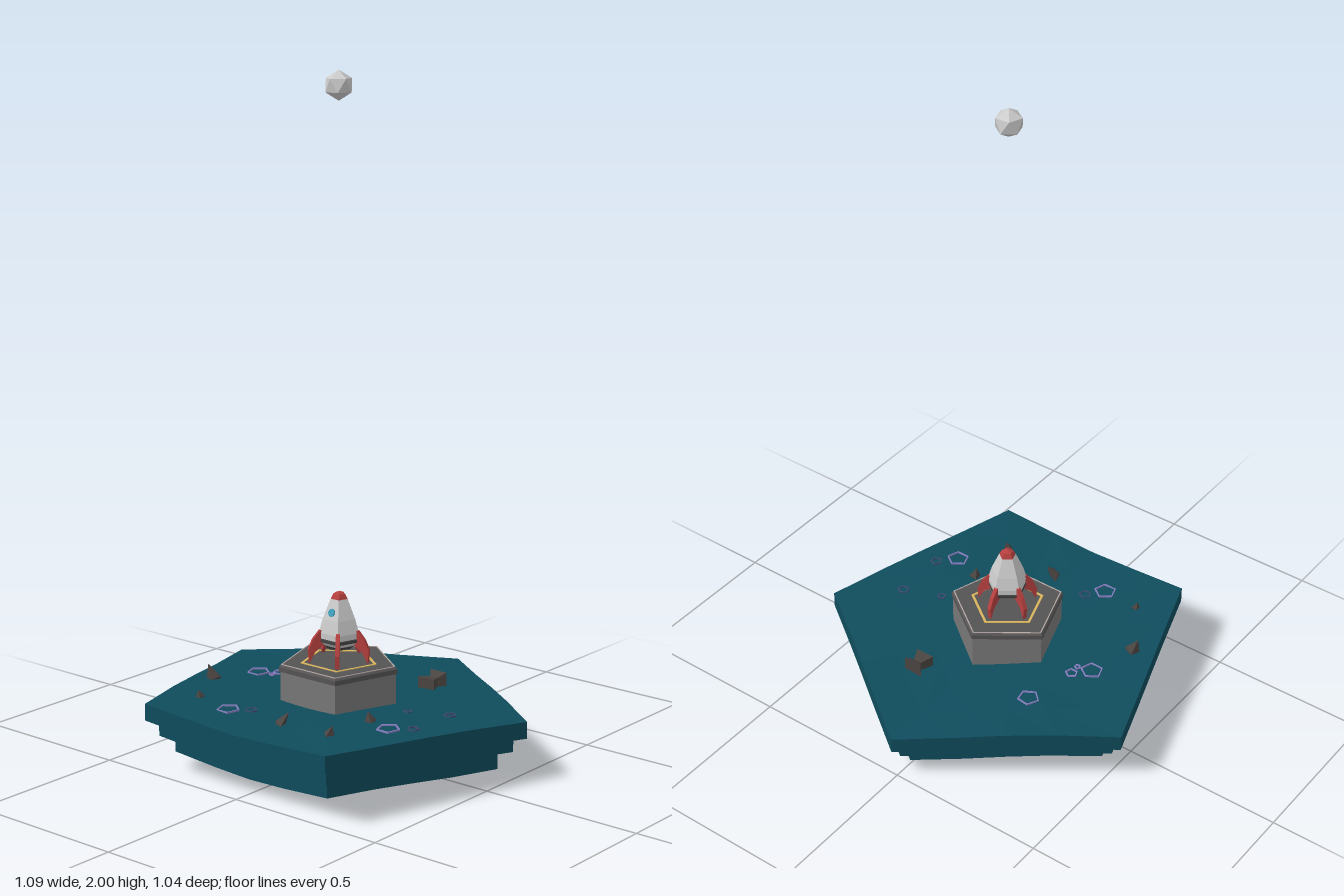
import * as THREE from 'three';

const CZ = 0.05; // z of the shared pentagon axis
const STEP = Math.PI * 2 / 5;

const mat = (color) => new THREE.MeshStandardMaterial({ color, flatShading: true, side: THREE.DoubleSide });
const M = {
  ground: mat(0x0f4c5c), pad: mat(0x777777), deck: mat(0x555353), trim: mat(0xb5a8a4), yellow: mat(0xd8b45c),
  hull: mat(0xcccccc), red: mat(0xb5403f), dark: mat(0x444444), glass: mat(0x3f9fbd),
  rock: mat(0x4a4441), crater: mat(0x8a80c4), craterDim: mat(0x3d4a72),
};

function add(parent, name, geo, material, x = 0, y = 0, z = 0) {
  const mesh = new THREE.Mesh(geo, material);
  mesh.name = name;
  mesh.position.set(x, y, z);
  parent.add(mesh);
  return mesh;
}

// Five-sided lathe with one corner pointing to -z; points run bottom to top
const lathe5 = (pts) => new THREE.LatheGeometry(pts.map(([r, y]) => new THREE.Vector2(r, y)), 5, Math.PI);

// Flat pentagonal frame lying in the ground plane
function frame(r, width, height) {
  return lathe5([[r - width, 0], [r, 0], [r, height], [r - width, height], [r - width, 0]]);
}

// Rolling height of the ground surface
const ground = (x, z) => 0.185 + 0.035 * z - 0.008 * Math.cos(9 * x) + 0.003 * Math.sin(8 * z + 3 * x);

// Pentagonal slab: a lathe squared off to five sides and bent along the ground
function slab(radius, drop, thick, sag) {
  const rings = [0, 0.25, 0.5, 0.75, 1];
  const pts = [
    ...rings.map((f) => new THREE.Vector2(f * radius, -drop - thick)),
    ...rings.slice().reverse().map((f) => new THREE.Vector2(f * radius, -drop)),
  ];
  const geo = new THREE.LatheGeometry(pts, 20, Math.PI);
  const p = geo.attributes.position;
  for (let i = 0; i < p.count; i++) {
    const x0 = p.getX(i), z0 = p.getZ(i), y0 = p.getY(i);
    const a = Math.atan2(x0, z0) + Math.PI + 1e-6;
    const k = Math.cos(STEP / 2) / Math.cos((a + 2 * Math.PI - Math.PI * 2) % STEP - STEP / 2);
    const x = x0 * k, z = z0 * k + CZ;
    let y = y0 + ground(x, z);
    if (y0 < -drop - thick / 2) y -= sag * Math.exp(-((x - 0.2) ** 2 + (z + 0.05) ** 2) / 0.06);
    p.setXYZ(i, x, Math.max(y, 0), z);
  }
  geo.computeVertexNormals();
  return geo;
}

function buildIsland() {
  const g = new THREE.Group();
  g.name = 'island';
  add(g, 'topLayer', slab(0.573, 0, 0.05, 0), M.ground);
  add(g, 'middleLayer', slab(0.533, 0.048, 0.05, 0), M.ground);
  add(g, 'bottomLayer', slab(0.487, 0.096, 0.052, 0.035), M.ground);

  // Crater rims: x, z, radius, turn, dim
  for (const [x, z, r, turn, dim] of [
    [-0.23, -0.155, 0.034, 0.5, 0], [-0.32, 0.045, 0.035, 0, 0], [-0.275, 0.003, 0.02, 0, 0],
    [-0.275, 0.035, 0.011, 0.3, 0], [0.32, 0.22, 0.035, 0, 0], [-0.145, 0.37, 0.035, 0, 0],
    [0.37, 0.003, 0.019, 0, 1], [0.255, 0.05, 0.014, 0, 1], [0.37, 0.172, 0.019, 0.3, 1], [-0.1, 0.325, 0.02, 0.2, 1],
  ]) {
    const rim = add(g, 'craterRim', frame(r, 0.004, 0.005), dim ? M.craterDim : M.crater, x, ground(x, z) - (dim ? 0.002 : 0), z);
    rim.rotation.set(0.035, turn, 0);
  }

  // Leaning shards: x, z, width, height, depth, turn, lean
  for (const [x, z, w, h, d, turn, lean] of [
    [-0.37, 0.19, 0.024, 0.046, 0.022, 0.4, 0.35], [0.23, 0.19, 0.018, 0.03, 0.02, 0.8, 0.2],
    [0.035, 0.35, 0.016, 0.042, 0.034, 0.7, -0.6], [0.22, 0.355, 0.017, 0.03, 0.022, 0.2, -0.3],
    [-0.27, 0.355, 0.014, 0.022, 0.012, 0.8, 0.2],
  ]) {
    const rock = add(g, 'rock', new THREE.OctahedronGeometry(1, 0), M.rock, x, ground(x, z), z);
    rock.scale.set(w, h, d);
    rock.rotation.set(0, turn, lean);
  }

  // Waisted boulder at the back
  const boulder = new THREE.BoxGeometry(0.06, 0.04, 0.06, 1, 1, 2);
  const p = boulder.attributes.position;
  for (let i = 0; i < p.count; i++) {
    if (Math.abs(p.getZ(i)) < 0.001) p.setXYZ(i, p.getX(i) * 0.45, p.getY(i) * 0.7, -0.008);
    else if (p.getZ(i) < 0) p.setY(i, p.getY(i) * 1.4);
  }
  add(g, 'boulder', boulder, M.rock, 0.125, 0.185, -0.23);
  return g;
}

function buildPad() {
  const g = new THREE.Group();
  g.name = 'launchPad';
  add(g, 'padBase', lathe5([[0, 0.15], [0.176, 0.15], [0.176, 0.28], [0, 0.28]]), M.pad);
  add(g, 'padDeck', lathe5([[0, 0.276], [0.18, 0.276], [0.18, 0.29], [0.174, 0.296], [0, 0.296]]), M.deck);
  add(g, 'padTrim', frame(0.174, 0.004, 0.003), M.trim, 0, 0.295);
  add(g, 'padMarking', frame(0.116, 0.009, 0.003), M.yellow, 0, 0.295);
  return g;
}

function buildRocket() {
  const g = new THREE.Group();
  g.name = 'rocket';
  add(g, 'hull', lathe5([[0.045, 0.345], [0.06, 0.357], [0.061, 0.385], [0.05, 0.425], [0.026, 0.484]]), M.hull);
  add(g, 'noseCone', lathe5([[0.026, 0.484], [0.018, 0.499], [0, 0.506]]), M.red);
  add(g, 'band', lathe5([[0.0605, 0.357], [0.062, 0.36], [0.062, 0.365], [0.0605, 0.368]]), M.dark);
  add(g, 'engine', lathe5([[0, 0.335], [0.035, 0.335], [0.046, 0.346], [0, 0.346]]), M.dark);

  // Window on the sloping front face
  const window3 = new THREE.Group();
  window3.name = 'window';
  window3.position.set(0, 0.447, 0.0335);
  window3.rotation.x = Math.PI / 2 - 0.31;
  add(window3, 'windowGlass', new THREE.CylinderGeometry(0.012, 0.012, 0.006, 8), M.glass);
  g.add(window3);

  // One fin on each hull corner
  const outline = [[0.045, 0.395], [0.06, 0.392], [0.08, 0.367], [0.094, 0.335], [0.09, 0.297], [0.073, 0.33], [0.045, 0.35]];
  const shape = new THREE.Shape(outline.map(([x, y]) => new THREE.Vector2(x, y)));
  const fin = new THREE.ExtrudeGeometry(shape, { depth: 0.012, bevelEnabled: false }).translate(0, 0, -0.006);
  for (let i = 0; i < 5; i++) add(g, 'fin', fin, M.red).rotation.y = Math.PI / 2 + i * STEP;
  return g;
}

export function createModel() {
  const model = new THREE.Group();
  model.name = 'rocketIsland';
  const pad = buildPad(), rocket = buildRocket();
  pad.position.z = rocket.position.z = CZ;
  model.add(buildIsland(), pad, rocket);

  // Small moon high above the pad, one corner straight up
  const moon = new THREE.IcosahedronGeometry(0.043, 0).rotateX(-Math.atan((1 + Math.sqrt(5)) / 2));
  add(model, 'moon', moon, M.hull, 0, 1.957, CZ);
  return model;
}
